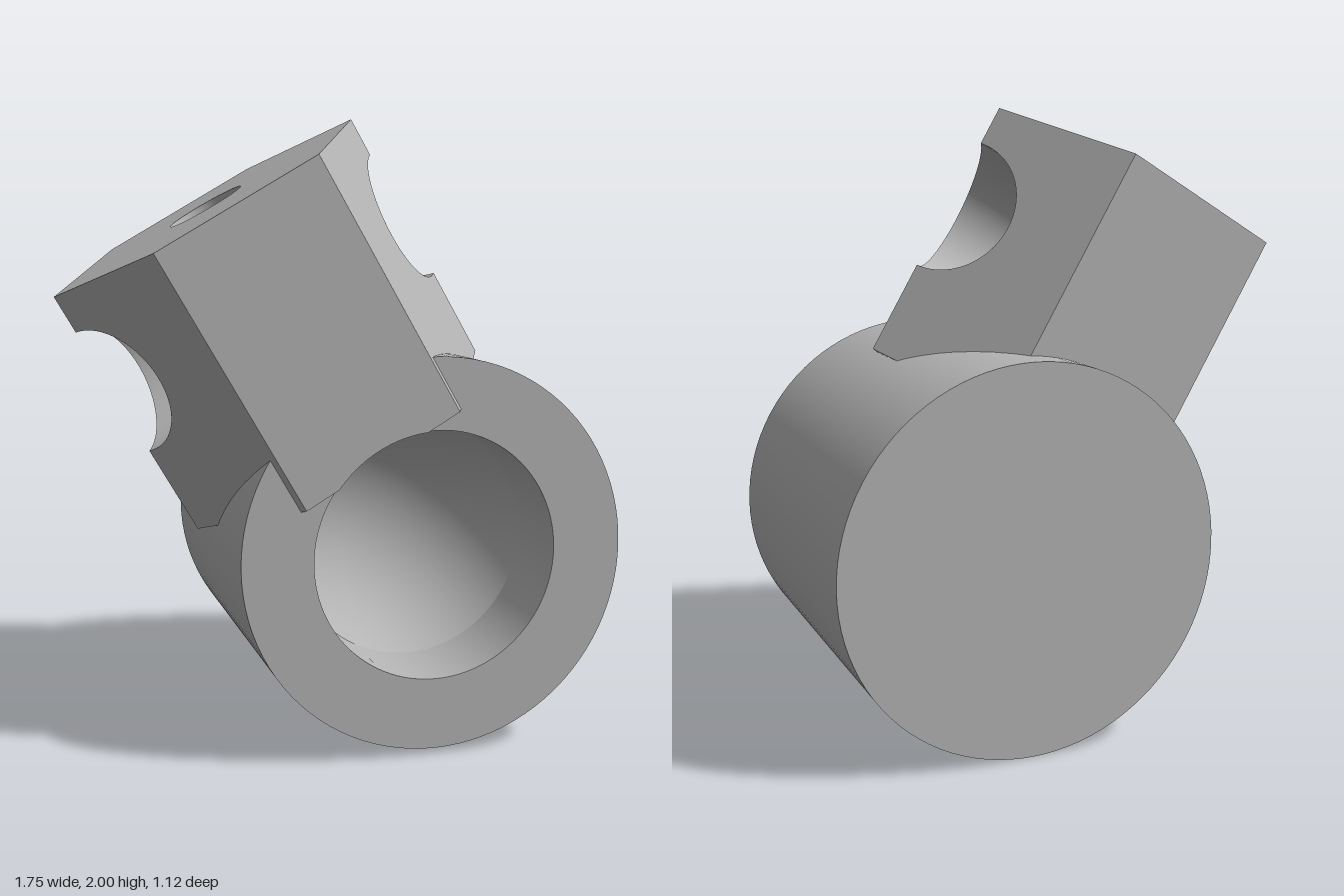
import * as THREE from 'three';

// Overall sizes
const BARREL_R = 0.622, HALF = 0.535;                 // round barrel
const SOCKET_R = 0.395, SOCKET_DEPTH = 0.28, CAP_R = 0.44;
const HEX_R = 0.563, FLAT = HEX_R * Math.sqrt(3) / 2; // hexagonal stem
const HEX_Z = 0.07, BOTTOM = 0.36, TOP = 1.25;
const BORE_R = 0.225, BORE_Y = 0.894, PIN_R = 0.13;   // cross bore and pin hole
const SEG = 96;

export function createModel() {
  const metal = new THREE.MeshStandardMaterial({ color: 0xb4b4b4, side: THREE.DoubleSide });
  metal.name = 'grey metal';
  const model = new THREE.Group();
  model.name = 'clampJoint';

  const body = new THREE.Group();
  body.name = 'body';
  body.position.set(0.234, 0.636, -0.01);
  body.rotation.set(0, 0.035, Math.PI / 6, 'ZYX');
  model.add(body);

  const add = (parent, name, geometry) => {
    const mesh = new THREE.Mesh(geometry, metal);
    mesh.name = name;
    parent.add(mesh);
  };
  // Move every vertex by a rule; flat faces get fresh normals
  const bend = (geometry, rule, flat = false) => {
    const p = geometry.attributes.position;
    for (let i = 0; i < p.count; i++) p.setXYZ(i, ...rule(p.getX(i), p.getY(i), p.getZ(i)));
    if (flat) geometry.computeVertexNormals();
    return geometry;
  };
  const tube = (r, length, start = 0, sweep = Math.PI * 2) =>
    new THREE.CylinderGeometry(r, r, length, SEG, 1, true, start, sweep);

  // Barrel with a round-bottomed socket in its front
  const barrel = new THREE.Group();
  barrel.name = 'barrel';
  body.add(barrel);
  const floorZ = HALF - SOCKET_DEPTH;
  add(barrel, 'barrelSide', tube(BARREL_R, HALF * 2).rotateX(Math.PI / 2));
  add(barrel, 'barrelBack', new THREE.CircleGeometry(BARREL_R, SEG).rotateY(Math.PI).translate(0, 0, -HALF));
  add(barrel, 'barrelFront', new THREE.RingGeometry(SOCKET_R, BARREL_R, SEG).translate(0, 0, HALF));
  add(barrel, 'socketWall', tube(SOCKET_R, SOCKET_DEPTH).rotateX(Math.PI / 2)
    .translate(0, 0, floorZ + SOCKET_DEPTH / 2));
  const capAngle = Math.asin(SOCKET_R / CAP_R);
  const capPoints = [];
  for (let i = 0; i <= 24; i++) {
    const a = capAngle * i / 24;
    capPoints.push(new THREE.Vector2(CAP_R * Math.sin(a), CAP_R * (Math.cos(capAngle) - Math.cos(a))));
  }
  add(barrel, 'socketFloor', new THREE.LatheGeometry(capPoints, SEG).rotateX(Math.PI / 2).translate(0, 0, floorZ));

  // Hexagonal stem
  const stem = new THREE.Group();
  stem.name = 'stem';
  stem.position.z = HEX_Z;
  body.add(stem);
  const h = HEX_R / 2;
  const notch = Math.sqrt(SOCKET_R ** 2 - BOTTOM ** 2);
  const notchAngle = Math.asin(notch / SOCKET_R);

  // Front flat, its lower edge trimmed by the socket
  const front = new THREE.Shape();
  front.moveTo(-h, BOTTOM);
  front.lineTo(-notch, BOTTOM);
  front.absarc(0, 0, SOCKET_R, Math.PI / 2 + notchAngle, Math.PI / 2 - notchAngle, true);
  front.lineTo(h, BOTTOM);
  front.lineTo(h, TOP);
  front.lineTo(-h, TOP);
  add(stem, 'stemFront', new THREE.ShapeGeometry(front, 24).translate(0, 0, FLAT));
  const lip = HEX_Z + FLAT - HALF;
  add(stem, 'socketLip', tube(SOCKET_R, lip, Math.PI - notchAngle, notchAngle * 2)
    .rotateX(Math.PI / 2).translate(0, 0, FLAT - lip / 2));

  add(stem, 'stemBack', new THREE.PlaneGeometry(HEX_R, TOP - BOTTOM).rotateY(Math.PI)
    .translate(0, (TOP + BOTTOM) / 2, -FLAT));

  // Four slanted flats, each with half of the bore opening
  for (const sx of [1, -1]) for (const sz of [1, -1]) {
    const side = new THREE.Shape();
    side.moveTo(0, BOTTOM);
    side.lineTo(HEX_R, BOTTOM);
    side.lineTo(HEX_R, TOP);
    side.lineTo(0, TOP);
    side.lineTo(0, BORE_Y + BORE_R);
    side.absellipse(0, BORE_Y, BORE_R * HEX_R / FLAT, BORE_R, Math.PI / 2, -Math.PI / 2, true, 0);
    const g = new THREE.ShapeGeometry(side, 40);
    if (sx * sz > 0) g.index.array.reverse();
    add(stem, 'stemSide', bend(g, (s, y) => [sx * (HEX_R - s / 2), y, sz * s * FLAT / HEX_R], true));
  }

  // Top with pin hole
  const corners = [[HEX_R, 0], [h, FLAT], [-h, FLAT], [-HEX_R, 0], [-h, -FLAT], [h, -FLAT]]
    .map(([x, z]) => new THREE.Vector2(x, z));
  const top = new THREE.Shape(corners);
  top.holes.push(new THREE.Path().absarc(0, 0, PIN_R, 0, Math.PI * 2, true));
  add(stem, 'stemTop', new THREE.ShapeGeometry(top, 48).rotateX(-Math.PI / 2).translate(0, TOP, 0));

  // Underside, cut back where the socket passes
  const cutZ = 0.126;
  const under = new THREE.Shape([
    corners[0], corners[1],
    ...[[notch, FLAT], [notch, cutZ], [-notch, cutZ], [-notch, FLAT]].map(([x, z]) => new THREE.Vector2(x, z)),
    ...corners.slice(2),
  ]);
  add(stem, 'stemUnderside', new THREE.ShapeGeometry(under).rotateX(Math.PI / 2).translate(0, BOTTOM, 0));

  // Cross bore in two halves, open at the top where the pin hole enters
  for (const sx of [1, -1]) {
    const g = tube(BORE_R, 2).rotateZ(-Math.PI / 2);
    add(stem, 'crossBore', bend(g, (x, y, z) => {
      const inner = y > 0 ? Math.sqrt(Math.max(0, PIN_R ** 2 - z * z)) : 0;
      const outer = HEX_R - Math.abs(z) / Math.sqrt(3);
      return [x * sx > 0 ? sx * outer : sx * inner, y + BORE_Y, z];
    }));
  }

  // Pin hole from the top down to the bore
  add(stem, 'pinHole', bend(tube(PIN_R, 2), (x, y, z) =>
    [x, y > 0 ? TOP : BORE_Y + Math.sqrt(BORE_R ** 2 - z * z), z]));

  return model;
}
